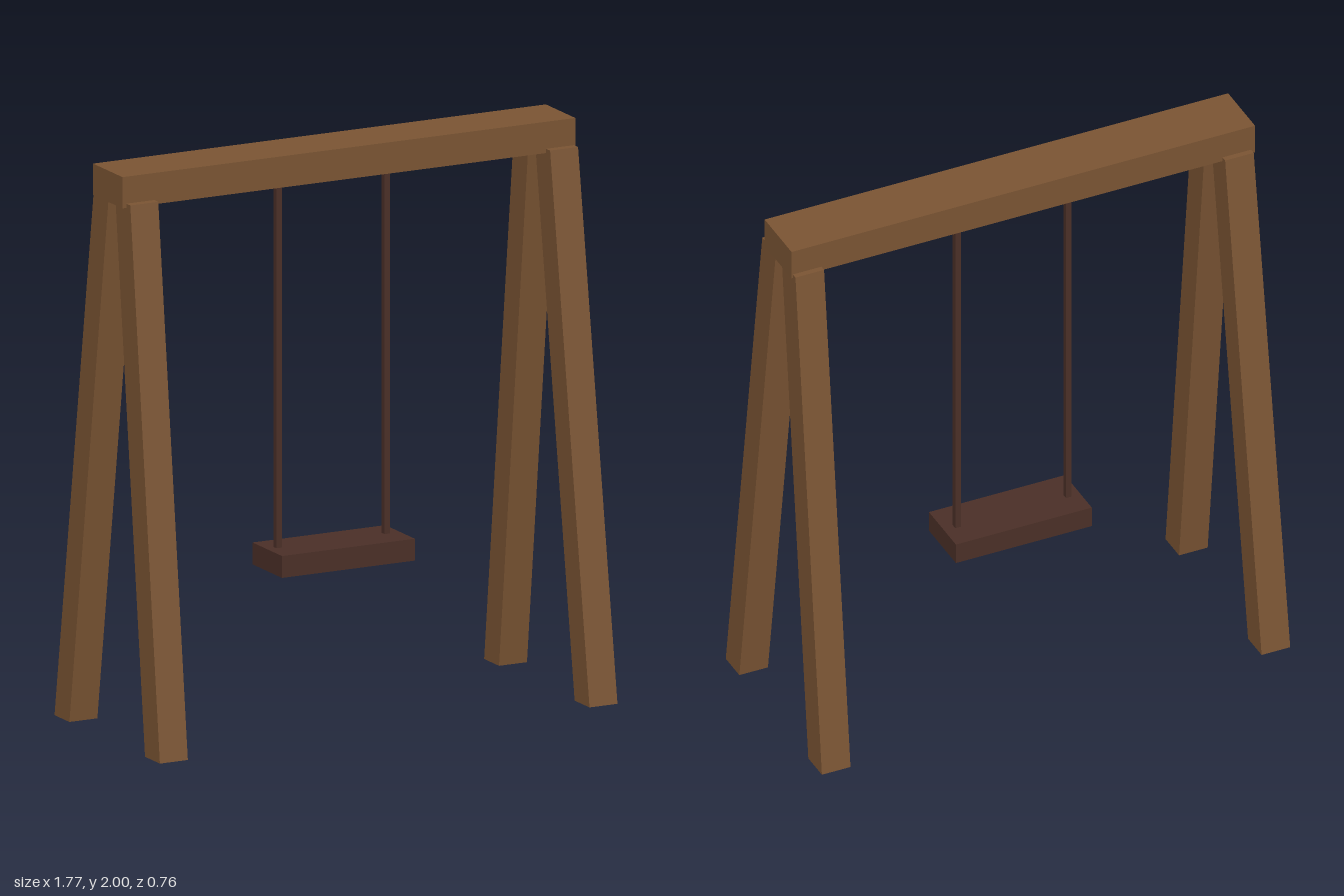
import * as THREE from 'three';

export function createModel() {
  const group = new THREE.Group();
  const wood = new THREE.MeshStandardMaterial({ color: 0x7a5433 });
  const darkWood = new THREE.MeshStandardMaterial({ color: 0x4a2f27 });

  const addBox = (name, material, size, position) => {
    const mesh = new THREE.Mesh(new THREE.BoxGeometry(...size), material);
    mesh.name = name;
    mesh.position.set(...position);
    group.add(mesh);
    return mesh;
  };

  // Top beam
  addBox('topBeam', wood, [1.75, 0.11, 0.214], [-0.005, 1.945, -0.004]);

  // Four splayed legs: sheared boxes with level ends
  const legHeight = 1.905;
  for (const sx of [1, -1]) {
    for (const sz of [1, -1]) {
      const name = (sz > 0 ? 'front' : 'back') + (sx > 0 ? 'Left' : 'Right') + 'Leg';
      const leg = addBox(name, wood, [0.108, legHeight, 0.108], [0, legHeight / 2, 0]);
      const p = leg.geometry.attributes.position;
      for (let i = 0; i < p.count; i++) {
        const t = p.getY(i) / legHeight + 0.5;
        p.setX(i, p.getX(i) + sx * THREE.MathUtils.lerp(0.83, 0.811, t));
        p.setZ(i, p.getZ(i) + sz * THREE.MathUtils.lerp(0.328, 0.078, t));
      }
      leg.geometry.computeVertexNormals();
    }
  }

  // Hanging seat
  addBox('seat', darkWood, [0.513, 0.077, 0.214], [-0.008, 0.556, -0.002]);

  // Ropes from the beam to the seat
  for (const [name, x] of [['leftRope', 0.198], ['rightRope', -0.22]]) {
    addBox(name, darkWood, [0.021, 1.33, 0.021], [x, 1.245, -0.01]);
  }

  return group;
}
